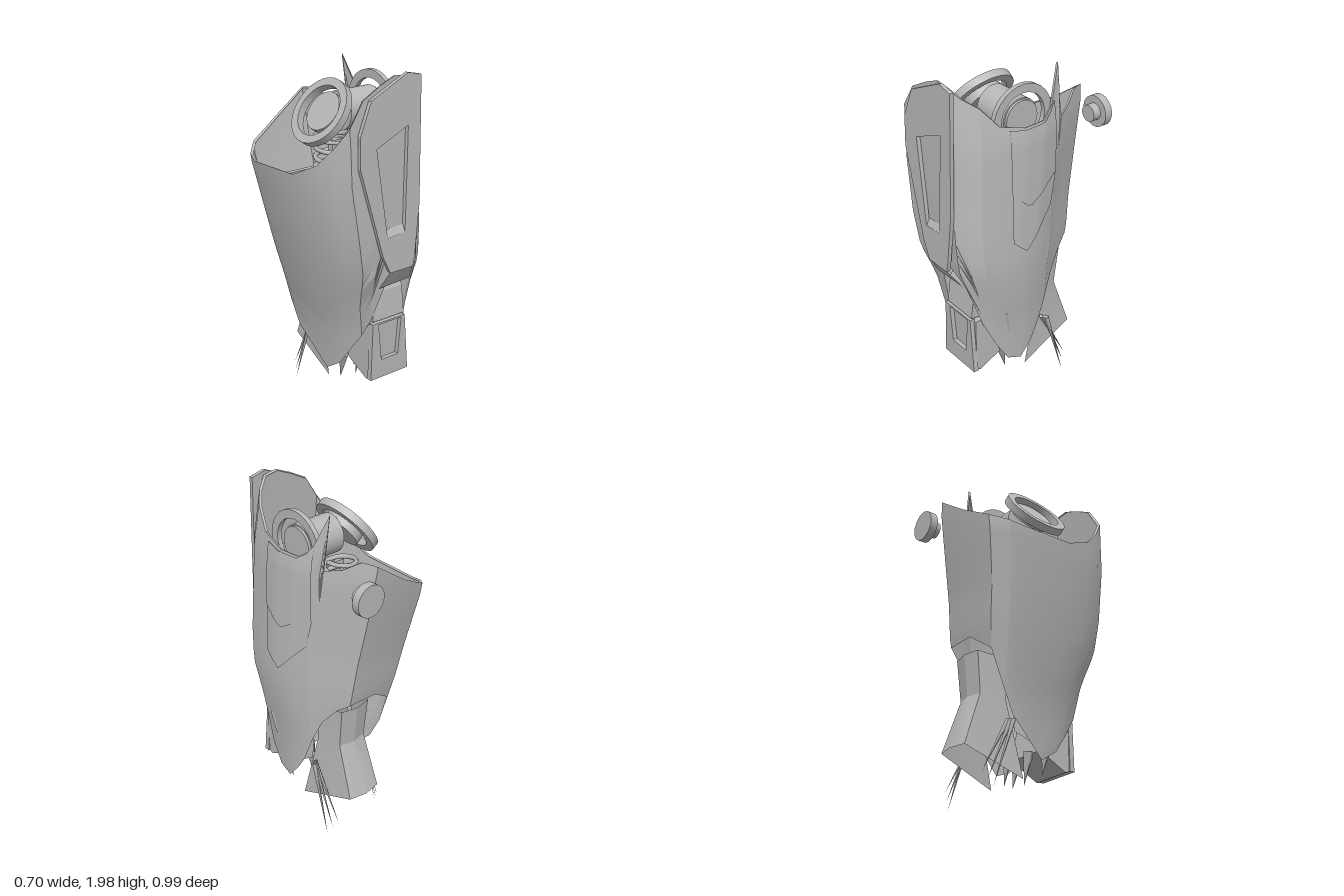
import * as THREE from 'three';
import { toCreasedNormals } from 'three/addons/utils/BufferGeometryUtils.js';

const grey = new THREE.MeshStandardMaterial({ color: 0xb8b8b8, side: THREE.DoubleSide });
grey.name = 'armour grey';

// Half-width and depth limits of the shell by height: y, left, right, front, back
const LEVELS = [
  [0.25, -0.11, 0.29, 0.3, -0.2], [0.55, -0.15, 0.305, 0.37, -0.27], [0.75, -0.205, 0.33, 0.4, -0.28],
  [0.95, -0.255, 0.345, 0.475, -0.32], [1.15, -0.3, 0.34, 0.49, -0.345], [1.45, -0.355, 0.33, 0.485, -0.4],
  [1.67, -0.36, 0.32, 0.48, -0.435], [2.0, -0.37, 0.26, 0.47, -0.46],
];
// Straight-line reading of a table whose first entry rises
function read(table, key) {
  let i = 1;
  while (i < table.length - 1 && key > table[i][0]) i++;
  const a = table[i - 1], b = table[i], t = (key - a[0]) / (b[0] - a[0]);
  return a.map((v, k) => v + (b[k] - v) * t);
}
// Point on the shell for a column given at the widest section
function onShell(x, z, y) {
  const [, l, r, f, b] = read(LEVELS, y);
  return [l + (r - l) * (x + 0.355) / 0.705, y, b + (f - b) * (z + 0.44) / 0.93];
}

export function createModel() {
  const model = new THREE.Group();
  const add = (name, geo, pos = [0, 0, 0], rot = [0, 0, 0]) => {
    const m = new THREE.Mesh(geo, grey);
    m.name = name;
    m.position.set(...pos);
    m.rotation.set(...rot);
    model.add(m);
    return m;
  };
  // Surface through rows of points
  const sheet = (rows, closed = false, crease = 0.4) => {
    const n = rows[0].length, idx = [];
    for (let j = 0; j < rows.length - 1; j++)
      for (let i = 0; i < (closed ? n : n - 1); i++) {
        const a = j * n + i, b = j * n + (i + 1) % n;
        idx.push(a, a + n, b, b, a + n, b + n);
      }
    const g = new THREE.BufferGeometry();
    g.setAttribute('position', new THREE.Float32BufferAttribute(rows.flat(2), 3));
    g.setIndex(idx);
    return toCreasedNormals(g, crease);
  };
  const poly = (pts) => new THREE.Shape(pts.map((p) => new THREE.Vector2(...p)));
  const extrude = (pts, depth, hole) => {
    const s = poly(pts);
    if (hole) s.holes.push(poly(hole));
    return new THREE.ExtrudeGeometry(s, { depth, bevelEnabled: false });
  };
  // Side profile (z, y) extruded across x0..x1
  const extrudeX = (pts, x0, x1) =>
    extrude(pts.map(([z, y]) => [-z, y]), x1 - x0).rotateY(Math.PI / 2).translate(x0, 0, 0);

  // Outer shell columns: x, z, rim height, hem height
  const columns = [
    [-0.23, 0.46, 1.76, 0.55], [-0.13, 0.462, 1.89, 0.63], [0, 0.463, 1.95, 0.95], [0.11, 0.465, 1.99, 0.95],
    [0.2, 0.462, 1.98, 0.85], [0.26, 0.42, 1.93, 0.58], [0.315, 0.35, 1.88, 0.42], [0.335, 0.25, 1.77, 0.3],
    [0.35, 0.1, 1.73, 0.27], [0.34, -0.03, 1.73, 0.36], [0.32, -0.1, 1.78, 0.44], [0.3, -0.17, 1.98, 0.58],
    [0.29, -0.185, 1.69, 0.61], [0.245, -0.27, 1.71, 0.75], [0.2, -0.36, 1.77, 0.85], [0.16, -0.435, 1.76, 0.9],
    [-0.06, -0.44, 1.62, 0.9], [-0.25, -0.41, 1.52, 0.8], [-0.33, -0.33, 1.48, 0.6], [-0.355, -0.25, 1.46, 0.46],
    [-0.35, 0.1, 1.47, 0.26], [-0.32, 0.28, 1.55, 0.33], [-0.28, 0.38, 1.65, 0.44],
  ];
  const rows = [];
  for (let j = 0; j <= 20; j++)
    rows.push(columns.map(([x, z, top, hem]) => onShell(x, z, top + (hem - top) * j / 20)));
  add('outerShell', sheet(rows, true, 0.35));

  // Narrow lip giving the rim its thickness
  add('shellRim', sheet([rows[0], rows[0].map(([x, y, z]) => [x * 0.965, y - 0.005, z * 0.965])], true));

  // Front plate with a tapering recess, leaning back slightly
  const plate = extrude(
    [[-0.2, 1.72], [-0.13, 1.89], [0.11, 2], [0.2, 1.98], [0.2, 1.3], [0.17, 1], [0.16, 0.95], [0, 0.95], [-0.05, 1.05], [-0.2, 1.55]],
    0.022, [[-0.095, 1.64], [0.115, 1.73], [0.1, 1.16], [-0.02, 1.15]]);
  const pp = plate.attributes.position;
  for (let i = 0; i < pp.count; i++) pp.setZ(i, pp.getZ(i) + 0.468 - 0.022 * (pp.getY(i) - 1.15));
  plate.computeVertexNormals();
  add('frontPlate', plate);
  add('recessLedge', sheet([[[-0.02, 1.19, 0.469], [0.1, 1.2, 0.469]], [[-0.02, 1.15, 0.489], [0.1, 1.16, 0.489]]]));

  // Sloping lip under the front plate
  add('frontLip', sheet([
    [[0, 0.95, 0.49], [0.16, 0.95, 0.49]],
    [[-0.02, 0.84, 0.425], [0.2, 0.85, 0.425]],
  ]));

  // Two thin chevron panels on the left side: z, upper hem, lower hem, top
  const chevron = [[-0.125, 1.41, 1.37, 1.81], [-0.09, 1.39, 1.22, 1.76], [-0.03, 1.35, 1.16, 1.72],
    [0.07, 1.29, 1.05, 1.72], [0.1, 1.3, 1.02, 1.72], [0.19, 1.38, 1.1, 1.74]];
  const outside = (z, y, gap) => {
    const side = columns.slice(6, 13).reverse().map(([x, cz]) => onShell(x, cz, y));
    return [read(side.map((p) => [p[2], p[0]]), z)[1] + gap, y, z];
  };
  for (const [name, k, gap] of [['sideChevronLower', 2, 0.007], ['sideChevronUpper', 1, 0.012]]) {
    const panel = [];
    for (let j = 0; j <= 8; j++) {
      panel.push([]);
      for (let i = 0; i <= 18; i++) {
        const z = -0.125 + 0.315 * i / 18, at = read(chevron, z);
        panel[j].push(outside(z, at[3] + (at[k] - at[3]) * j / 8, gap));
      }
    }
    add(name, sheet(panel));
  }

  // Knee cover and lower front guard with a recess
  add('kneeCover', extrudeX([[0.2, 0.84], [0.32, 0.84], [0.355, 0.78], [0.375, 0.62], [0.2, 0.6]], -0.01, 0.21));
  add('lowerGuardFace', extrude([[-0.02, 0.61], [0.21, 0.61], [0.24, 0.27], [-0.03, 0.27]], 0.03,
    [[0.02, 0.6], [0.185, 0.6], [0.165, 0.38], [0.045, 0.38]]), [0, 0, 0.355]);
  add('lowerGuardBody', extrudeX([[0.36, 0.6], [0.36, 0.27], [0.33, 0.26], [0.15, 0.35], [0.2, 0.6]], -0.02, 0.23));

  // Rear neck, heel guard and inner ankle plates
  const band = (yf, zf, yb, zb, w) => [
    [0.1 - w, yf, zf], [0.1 - w * 0.75, yb, zb + 0.02], [0.1, yb, zb], [0.1 + w * 0.75, yb, zb + 0.02], [0.1 + w, yf, zf]];
  add('heelGuard', sheet([
    band(0.82, -0.1, 0.84, -0.275, 0.13), band(0.58, -0.08, 0.6, -0.25, 0.12), band(0.16, 0.02, 0.29, -0.355, 0.14),
  ]));
  for (const side of [-1, 1]) {
    const x = (w) => 0.095 + side * w;
    add('anklePlate', sheet([
      [[x(0.22), 0.66, 0.22], [x(0.13), 0.66, -0.05]],
      [[x(0.18), 0.32, 0.15], [x(0.12), 0.42, -0.03]],
    ]));
  }

  // Thin trailing spikes and hem teeth
  const spike = (name, from, to, r) => {
    const a = new THREE.Vector3(...from), b = new THREE.Vector3(...to), d = b.clone().sub(a);
    const m = add(name, new THREE.ConeGeometry(r, d.length(), 4), a.clone().add(b).multiplyScalar(0.5).toArray());
    m.quaternion.setFromUnitVectors(new THREE.Vector3(0, 1, 0), d.normalize());
  };
  for (let i = 0; i < 3; i++) {
    spike('leftSpike', [0.25 + i * 0.012, 0.45, -0.09 - i * 0.01], [0.24 + i * 0.022, 0.1 - i * 0.04, -0.28 + i * 0.025], 0.014);
    spike('rightSpike', [-0.1 + i * 0.012, 0.45, -0.09 - i * 0.01], [-0.1 + i * 0.015, 0.06 + i * 0.04, -0.22 - i * 0.025], 0.014);
  }
  for (const [x, y, z] of [[0.08, 0.17, 0.12], [0.14, 0.16, 0.03], [0.22, 0.19, 0.15], [-0.05, 0.2, 0.14]])
    spike('hemTooth', [x, 0.36, z + 0.03], [x, y, z], 0.035);

  // Axle with an upright ring at the left end and a tilted ring at the right
  const tube = (r0, r1, h) => toCreasedNormals(new THREE.LatheGeometry(
    [[r0, -h], [r1, -h], [r1, h], [r0, h], [r0, -h]].map((p) => new THREE.Vector2(...p)), 28), 0.6);
  const axle = (r, h) => new THREE.CylinderGeometry(r, r, h, 28);
  const Q = Math.PI / 2;
  add('axle', axle(0.108, 0.22), [0.11, 1.74, 0.055], [0, 0, Q]);
  add('leftRing', tube(0.14, 0.187, 0.014), [0.23, 1.745, 0.055], [0, 0, Q]);
  add('leftHub', axle(0.1, 0.02), [0.225, 1.74, 0.055], [0, 0, Q]);
  add('rightRing', tube(0.145, 0.19, 0.022), [-0.115, 1.75, 0.053], [0, 0, 0.95]);
  add('rightHub', axle(0.112, 0.05), [-0.085, 1.74, 0.053], [0, 0, 0.95]);

  // Coil spring
  const coil = [];
  for (let i = 0; i <= 108; i++) {
    const a = i / 12 * Math.PI * 2;
    coil.push(new THREE.Vector3(0.035 + 0.085 * Math.cos(a), 1.13 + i * 0.0048, -0.06 + 0.085 * Math.sin(a)));
  }
  add('spring', new THREE.TubeGeometry(new THREE.CatmullRomCurve3(coil), 216, 0.013, 6));

  // Inner frame: cross plates, posts and rails
  add('frontCrossPlate', new THREE.BoxGeometry(0.48, 0.1, 0.035), [0, 1.4, 0.23]);
  add('rearCrossPlate', new THREE.BoxGeometry(0.2, 0.08, 0.04), [0.15, 1.5, -0.08]);
  add('rearRail', new THREE.BoxGeometry(0.28, 0.06, 0.03), [0.02, 1.3, -0.28]);
  for (const x of [-0.1, 0, 0.1, 0.18])
    add('framePost', new THREE.BoxGeometry(0.05, 0.4, 0.06), [x, 1.3, 0.19]);
  add('rod', new THREE.CylinderGeometry(0.021, 0.021, 0.5, 14), [0.155, 1.4, 0.242]);

  // Rear knob
  add('knobStem', axle(0.047, 0.05), [0.225, 1.63, -0.432], [Q, 0, 0]);
  add('knobCap', axle(0.088, 0.045), [0.225, 1.63, -0.476], [Q, 0, 0]);

  return model;
}
